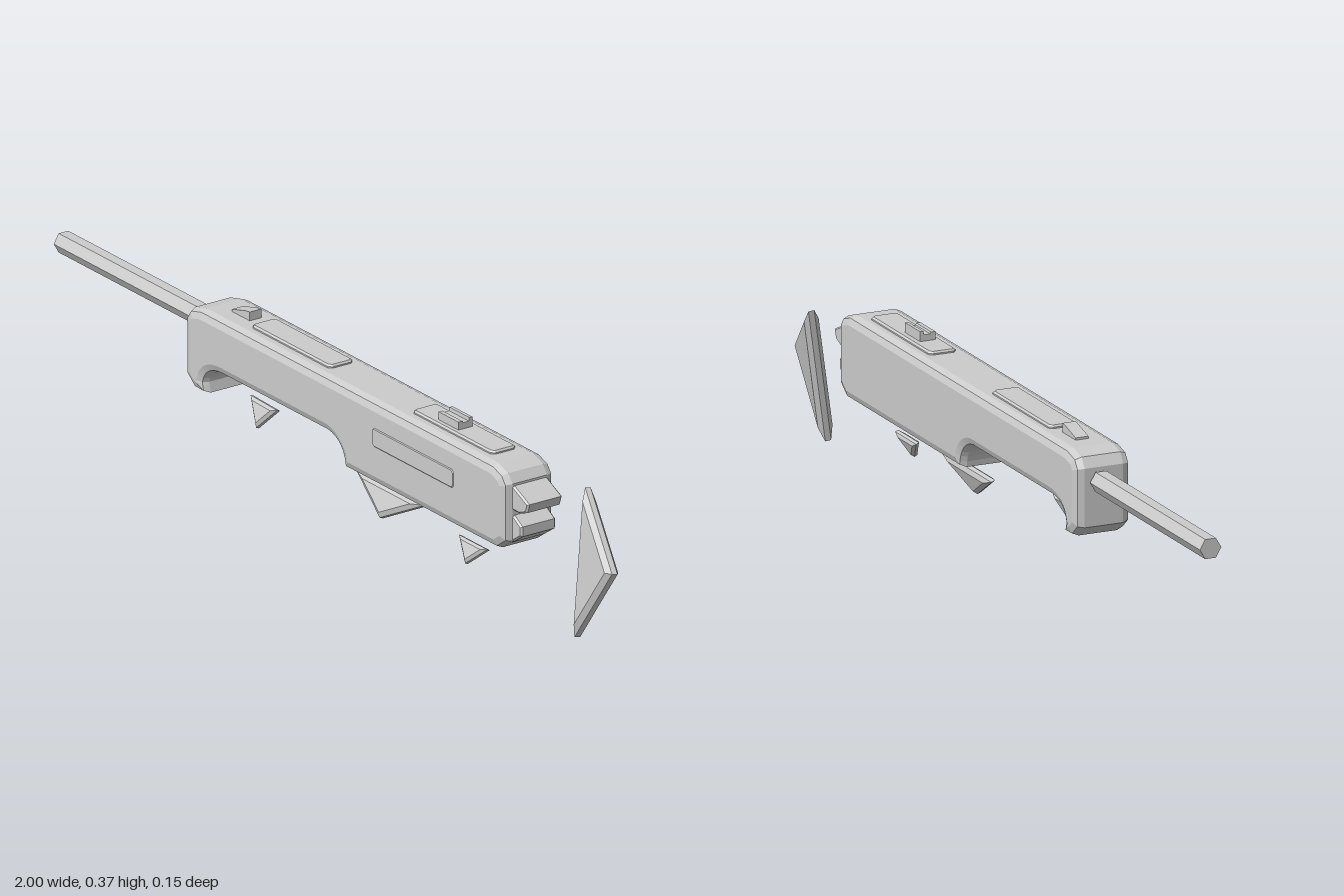
import * as THREE from 'three';

const material = new THREE.MeshStandardMaterial({ color: 0xcccccc, flatShading: true });
const MID_Z = 0.01;

function add(group, name, geometry, x = 0, y = 0, z = 0) {
  const mesh = new THREE.Mesh(geometry, material);
  mesh.name = name;
  mesh.position.set(x, y, z);
  group.add(mesh);
  return mesh;
}

function polygon(points) {
  return new THREE.Shape(points.map(([x, y]) => new THREE.Vector2(x, y)));
}

// Side profile extruded to a full width, with the bevel kept inside the outline
function slab(shape, width, bevel, segments = 1) {
  const geometry = new THREE.ExtrudeGeometry(shape, {
    depth: width - 2 * bevel, bevelEnabled: bevel > 0, bevelSize: bevel,
    bevelThickness: bevel, bevelOffset: -bevel, bevelSegments: segments, curveSegments: 8,
  });
  return geometry.translate(0, 0, -width / 2 + bevel);
}

// Rectangle with cut corners
function cutRect(w, h, c) {
  const x = w / 2, y = h / 2;
  return polygon([[-x + c, -y], [x - c, -y], [x, -y + c], [x, y - c],
    [x - c, y], [-x + c, y], [-x, y - c], [-x, -y + c]]);
}

// Bevelled triangular plate through three corners (counter-clockwise from the front)
function trianglePlate(corners, thickness, inset) {
  const p = corners.map((c) => new THREE.Vector3(...c));
  const n = p[1].clone().sub(p[0]).cross(p[2].clone().sub(p[0])).normalize();
  const sides = [0, 1, 2].map((i) => p[(i + 1) % 3].distanceTo(p[(i + 2) % 3]));
  const total = sides[0] + sides[1] + sides[2];
  const centre = new THREE.Vector3();
  p.forEach((v, i) => centre.addScaledVector(v, sides[i] / total));
  const loops = [[0.5, inset], [0.2, 0], [-0.2, 0], [-0.5, inset]].map(([h, k]) =>
    p.map((v) => v.clone().lerp(centre, k).addScaledVector(n, h * thickness)));
  const out = [];
  const tri = (...vs) => vs.forEach((v) => out.push(v.x, v.y, v.z));
  tri(...loops[0]);
  tri(loops[3][2], loops[3][1], loops[3][0]);
  for (let l = 0; l < 3; l++) {
    for (let i = 0; i < 3; i++) {
      const j = (i + 1) % 3;
      const [a, b, c, d] = [loops[l][i], loops[l + 1][i], loops[l + 1][j], loops[l][j]];
      tri(a, b, c);
      tri(a, c, d);
    }
  }
  const geometry = new THREE.BufferGeometry();
  geometry.setAttribute('position', new THREE.Float32BufferAttribute(out, 3));
  geometry.computeVertexNormals();
  return geometry;
}

export function createModel() {
  const model = new THREE.Group();
  model.name = 'model';

  // Main body with an arched hand opening underneath
  const body = new THREE.Shape();
  body.moveTo(-0.425, 0.155);
  body.lineTo(-0.385, 0.155);
  body.lineTo(-0.39, 0.178);
  body.quadraticCurveTo(-0.38, 0.217, -0.32, 0.217);
  body.lineTo(0.06, 0.217);
  body.quadraticCurveTo(0.115, 0.21, 0.12, 0.155);
  body.lineTo(0.675, 0.155);
  body.lineTo(0.71, 0.18);
  body.lineTo(0.71, 0.31);
  body.lineTo(0.695, 0.33);
  body.lineTo(0.66, 0.342);
  body.lineTo(-0.4, 0.342);
  body.lineTo(-0.44, 0.332);
  body.lineTo(-0.455, 0.31);
  body.lineTo(-0.455, 0.18);
  body.closePath();
  add(model, 'body', slab(body, 0.13, 0.02, 2), 0, 0, MID_Z);

  // Hexagonal rod and its neck
  const rod = (name, radius, x0, x1) => {
    const geometry = new THREE.CylinderGeometry(radius, radius, x1 - x0, 6);
    geometry.rotateZ(Math.PI / 2);
    add(model, name, geometry, (x0 + x1) / 2, 0.281, -0.002);
  };
  rod('rod', 0.025, -1, -0.465);
  rod('rodNeck', 0.018, -0.48, -0.44);

  // Raised plates on the top
  for (const [name, x0, x1] of [['topPlateFront', -0.26, 0.027], ['topPlateRear', 0.325, 0.617]]) {
    const plate = slab(cutRect(x1 - x0, 0.064, 0.008), 0.02, 0.004).rotateX(-Math.PI / 2);
    add(model, name, plate, (x0 + x1) / 2, 0.339, 0.009);
  }

  // Notched rear block and small front wedge
  const notch = polygon([[-0.018, 0.335], [0.018, 0.335], [0.018, 0.371], [0.01, 0.371],
    [0.009, 0.363], [-0.006, 0.363], [-0.008, 0.367], [-0.018, 0.367]]);
  add(model, 'notchedBlock', slab(notch, 0.072, 0).rotateY(Math.PI / 2), 0.44, 0, MID_Z);
  const wedge = polygon([[-0.355, 0.335], [-0.29, 0.335], [-0.29, 0.362], [-0.305, 0.36], [-0.355, 0.347]]);
  add(model, 'frontWedge', slab(wedge, 0.03, 0), 0, 0, 0.007);

  // Side panel on the front face
  add(model, 'sidePanel', slab(cutRect(0.295, 0.042, 0.006), 0.008, 0.002), 0.377, 0.264, 0.073);

  // Stepped lugs at the rear end
  const upperLug = polygon([[0.67, 0.25], [0.735, 0.25], [0.76, 0.26], [0.767, 0.281], [0.715, 0.305], [0.67, 0.305]]);
  const lowerLug = polygon([[0.67, 0.175], [0.705, 0.175], [0.742, 0.2], [0.742, 0.222], [0.715, 0.238], [0.67, 0.238]]);
  add(model, 'upperLug', slab(upperLug, 0.09, 0.004), 0, 0, MID_Z);
  add(model, 'lowerLug', slab(lowerLug, 0.09, 0.004), 0, 0, MID_Z);

  // Loose triangular plates behind and beneath the body
  add(model, 'rearTriangle', trianglePlate(
    [[0.817, 0.31, -0.064], [0.868, 0.001, 0], [1, 0.187, -0.003]], 0.032, 0.18));
  add(model, 'lowerTriangleFront', trianglePlate(
    [[-0.276, 0.178, 0.026], [-0.228, 0.124, 0.046], [-0.18, 0.175, 0.026]], 0.02, 0.3));
  add(model, 'lowerTriangleMiddle', trianglePlate(
    [[0.088, 0.126, 0.012], [0.21, 0.063, 0.038], [0.335, 0.126, 0.012]], 0.024, 0.3));
  add(model, 'lowerTriangleRear', trianglePlate(
    [[0.466, 0.104, 0.016], [0.516, 0.06, 0.036], [0.568, 0.104, 0.016]], 0.018, 0.3));

  return model;
}
